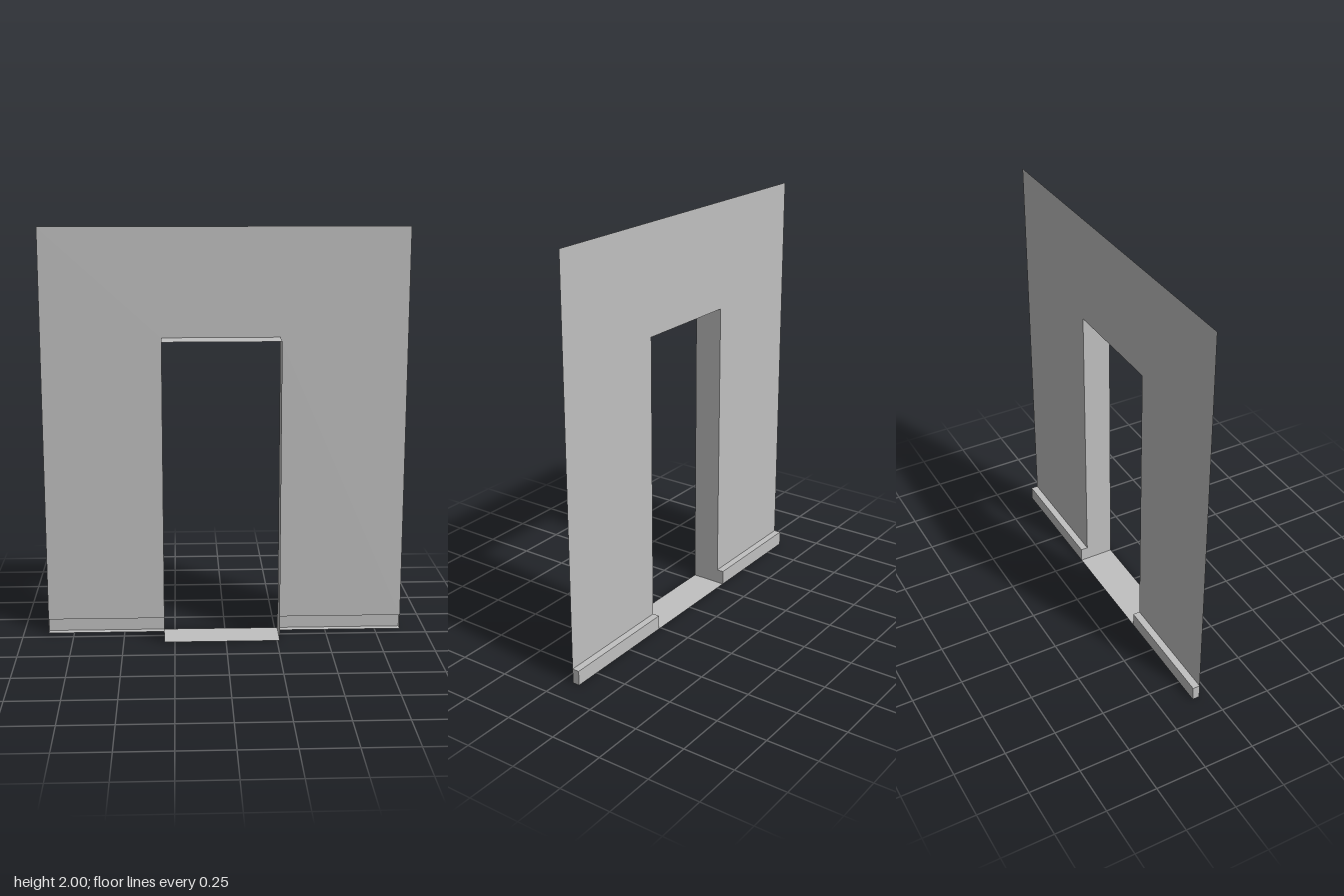
import * as THREE from 'three';

export function createModel() {
  const group = new THREE.Group();
  const plaster = new THREE.MeshStandardMaterial({ color: 0xc0c0c0, side: THREE.DoubleSide });
  plaster.name = 'plasterGrey';

  const halfW = 0.877, top = 2;                      // wall extent
  const doorL = -0.302, doorR = 0.263, doorTop = 1.478; // doorway
  const front = 0.088, wallZ = -0.053, back = -0.088;   // depths
  const skirtH = 0.072;

  const add = (parent, name, geometry) => {
    const mesh = new THREE.Mesh(geometry, plaster);
    mesh.name = name;
    parent.add(mesh);
  };
  // Thin sheets spanning two ranges at a fixed third coordinate
  const sheetX = (x, y0, y1, z0, z1) =>
    new THREE.PlaneGeometry(z1 - z0, y1 - y0).rotateY(Math.PI / 2).translate(x, (y0 + y1) / 2, (z0 + z1) / 2);
  const sheetY = (y, x0, x1, z0, z1) =>
    new THREE.PlaneGeometry(x1 - x0, z1 - z0).rotateX(-Math.PI / 2).translate((x0 + x1) / 2, y, (z0 + z1) / 2);
  const sheetZ = (z, x0, x1, y0, y1) =>
    new THREE.PlaneGeometry(x1 - x0, y1 - y0).rotateY(Math.PI).translate((x0 + x1) / 2, (y0 + y1) / 2, z);

  // Wall sheet around the doorway, ending above the skirting
  const outline = new THREE.Shape([
    [-halfW, skirtH], [doorL, skirtH], [doorL, doorTop], [doorR, doorTop],
    [doorR, skirtH], [halfW, skirtH], [halfW, top], [-halfW, top],
  ].map(([x, y]) => new THREE.Vector2(x, y)));
  add(group, 'wall', new THREE.ShapeGeometry(outline).translate(0, 0, wallZ));

  // Door reveal
  const reveal = new THREE.Group();
  reveal.name = 'doorReveal';
  add(reveal, 'rightJamb', sheetX(doorL, 0, doorTop, wallZ, front));
  add(reveal, 'leftJamb', sheetX(doorR, 0, doorTop, wallZ, front));
  add(reveal, 'lintel', sheetY(doorTop, doorL, doorR, wallZ, front));
  add(reveal, 'threshold', sheetY(0, doorL, doorR, back, front));
  group.add(reveal);

  // Skirting boards behind the wall, hollow and open to the front
  for (const [name, x0, x1] of [['rightSkirting', -halfW, doorL], ['leftSkirting', doorR, halfW]]) {
    const skirting = new THREE.Group();
    skirting.name = name;
    add(skirting, 'skirtingFace', sheetZ(back, x0, x1, 0, skirtH));
    add(skirting, 'skirtingTop', sheetY(skirtH, x0, x1, back, wallZ));
    add(skirting, 'skirtingBase', sheetY(0, x0, x1, back, wallZ));
    for (const x of [x0, x1]) add(skirting, 'skirtingEnd', sheetX(x, 0, skirtH, back, wallZ));
    group.add(skirting);
  }

  return group;
}
